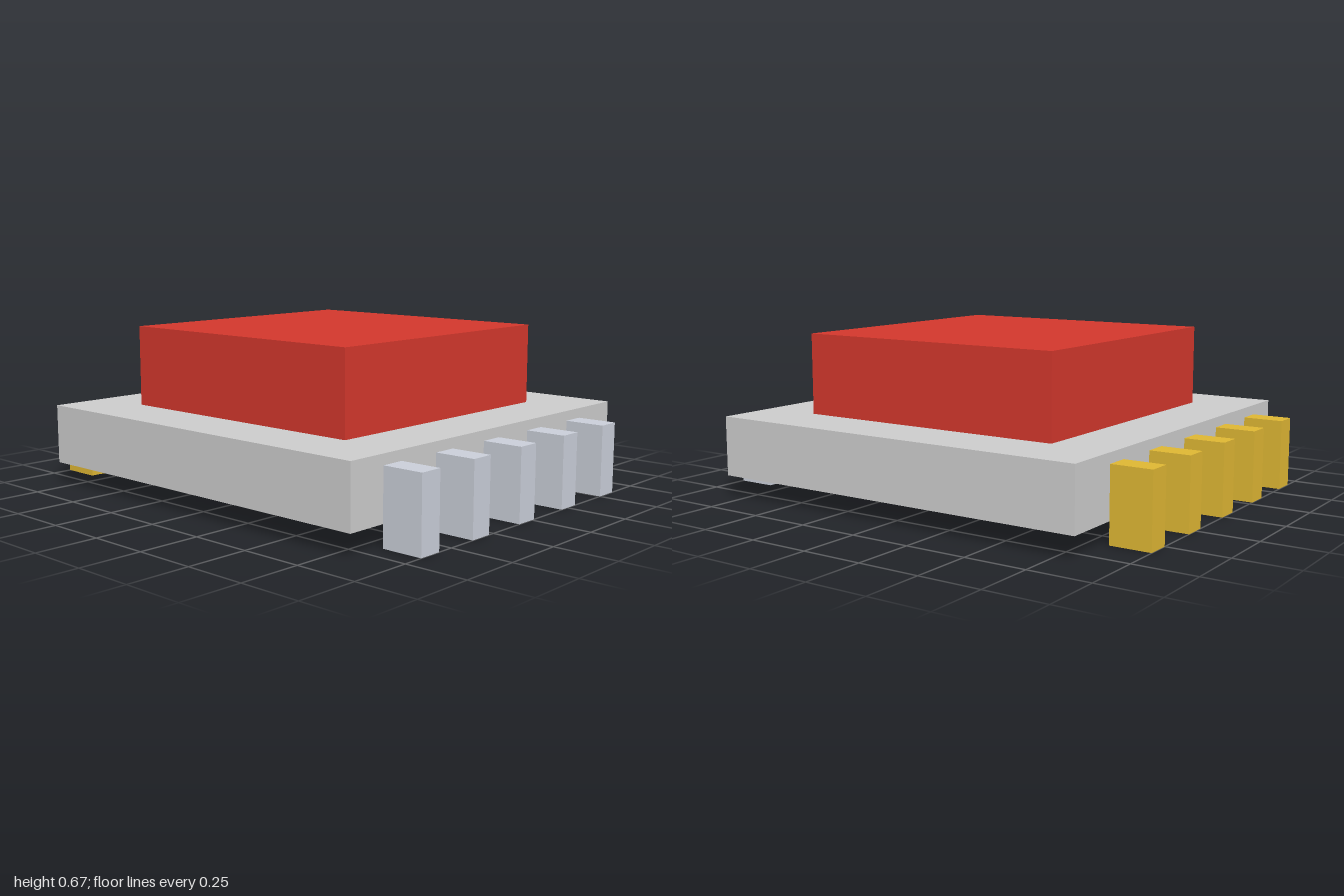
import * as THREE from 'three';

const material = (color) => new THREE.MeshStandardMaterial({ color });

// Box standing on height y, centred on x and z
function addBox(parent, name, [w, h, d], [x, y, z], mat) {
  const mesh = new THREE.Mesh(new THREE.BoxGeometry(w, h, d), mat);
  mesh.name = name;
  mesh.position.set(x, y + h / 2, z);
  parent.add(mesh);
}

export function createModel() {
  const model = new THREE.Group();
  model.name = 'chipPackage';

  // Flat base plate with a raised block on top
  addBox(model, 'basePlate', [1.666, 0.246, 1.666], [0, 0.087, 0], material(0xcccccc));
  addBox(model, 'topBlock', [1.164, 0.334, 1.164], [0, 0.333, 0], material(0xd2372c));

  // Rows of five pins: silver in front, gold behind
  const rows = [
    { name: 'front', side: 1, mat: material(0xc9ced8) },
    { name: 'back', side: -1, mat: material(0xdeb633) },
  ];
  for (const { name, side, mat } of rows) {
    const row = new THREE.Group();
    row.name = `${name}Pins`;
    for (let i = 0; i < 5; i++) {
      addBox(row, `${name}Pin${i + 1}`, [0.098, 0.292, 0.167], [-0.617 + i * 0.2915, 0, side * 0.9165], mat);
    }
    model.add(row);
  }
  return model;
}
